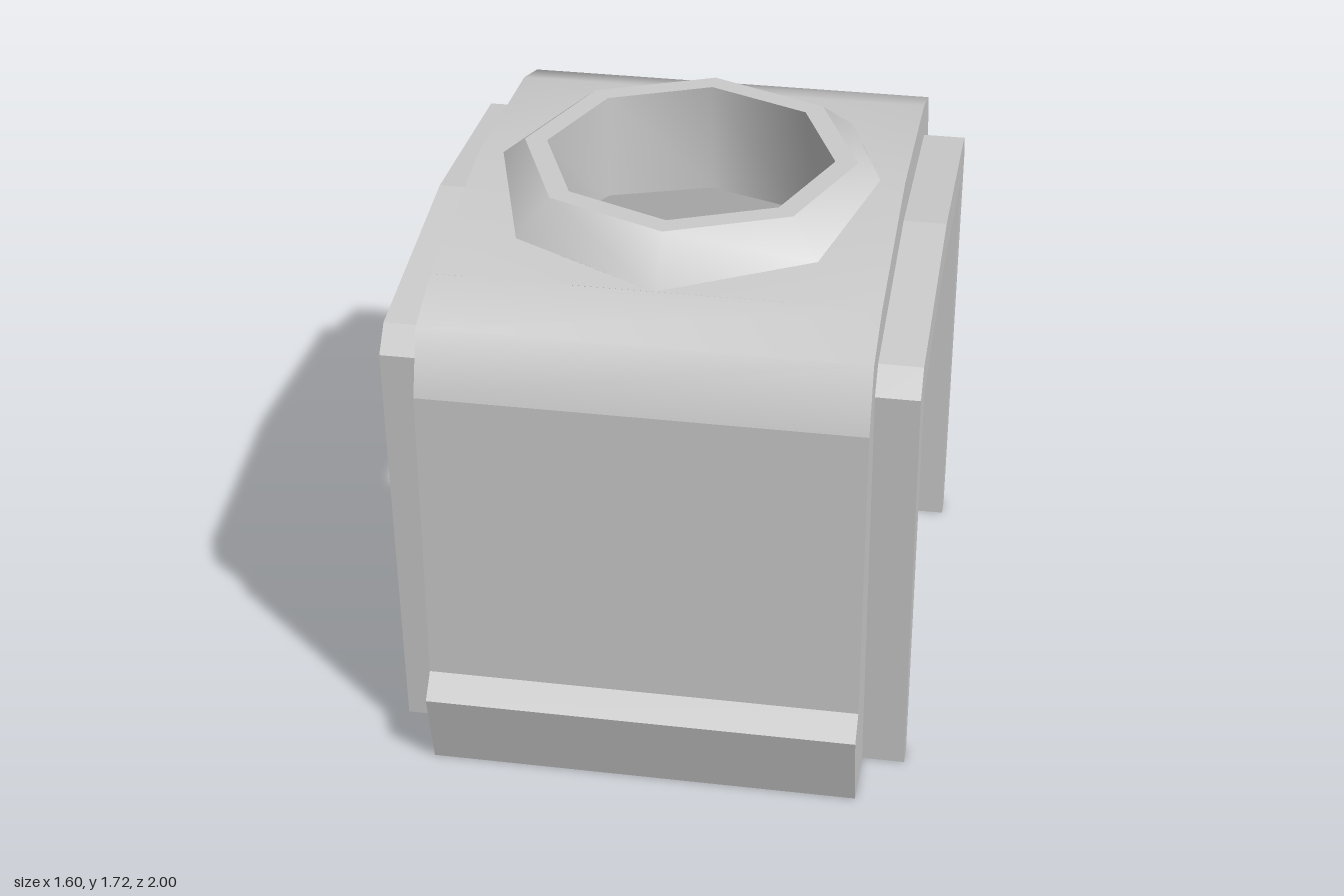
import * as THREE from 'three';
import { mergeGeometries, toCreasedNormals } from 'three/addons/utils/BufferGeometryUtils.js';

const W = 0.667;                                   // half width of the shell and half inner span
const material = new THREE.MeshStandardMaterial({ color: 0xcccccc, side: THREE.DoubleSide });
const roofY = z => 1.667 - 0.1 * Math.abs(z);
const ceilingY = z => 1.4 - 0.1 * Math.abs(z);
const polygon = pts => new THREE.Shape(pts.map(p => new THREE.Vector2(...p)));
const mirrorZ = pts => pts.map(([z, y]) => [-z, y]);

// Extrudes a (z, y) profile along x, centred on cx
function extrudeX(pts, width, cx = 0) {
  const g = new THREE.ExtrudeGeometry(polygon(pts), { depth: width, bevelEnabled: false });
  return g.rotateY(-Math.PI / 2).translate(cx + width / 2, 0, 0);
}

// Flat (z, y) face at a given x
function faceX(pts, x) {
  return new THREE.ShapeGeometry(polygon(pts)).rotateY(-Math.PI / 2).translate(x, 0, 0);
}

// One (x, z) quarter repeated four times and lifted onto a pitched surface
function pitched(quarter, heightAt, tilt) {
  const parts = [];
  for (const sx of [-1, 1]) for (const sz of [-1, 1]) {
    const g = new THREE.ShapeGeometry(polygon(quarter.map(([x, z]) => [sx * x, sz * z])));
    g.rotateX(tilt);
    const p = g.attributes.position;
    for (let i = 0; i < p.count; i++) p.setY(i, heightAt(p.getZ(i)));
    parts.push(g.toNonIndexed());
  }
  const merged = mergeGeometries(parts);
  merged.computeVertexNormals();
  return merged;
}

// Eight-sided ring; the radius may differ along x, diagonals and z
function ring(rx, rd, rz, heightAt) {
  return Array.from({ length: 8 }, (_, i) => {
    const a = i * Math.PI / 4;
    const r = i % 2 ? rd : i % 4 ? rz : rx;
    const z = r * Math.sin(a);
    return [r * Math.cos(a), heightAt(z), z];
  });
}

// Closed band of quads from a lower or outer ring to the next
function strip(a, b) {
  const v = [];
  for (let i = 0; i < 8; i++) {
    const j = (i + 1) % 8;
    v.push(...a[i], ...b[i], ...b[j], ...a[i], ...b[j], ...a[j]);
  }
  const g = new THREE.BufferGeometry();
  g.setAttribute('position', new THREE.Float32BufferAttribute(v, 3));
  return toCreasedNormals(g, 1);
}

export function createModel() {
  const group = new THREE.Group();
  const add = (name, geometry) => {
    const mesh = new THREE.Mesh(geometry, material);
    mesh.name = name;
    group.add(mesh);
    return mesh;
  };

  // Side walls with the flared lower lip
  const wall = [[W, 0], [0.933, 0], [1, 0.267], [0.933, 0.333], [0.933, 1.333], [W, 1.333]];
  add('frontWall', extrudeX(wall, 2 * W));
  add('backWall', extrudeX(mirrorZ(wall), 2 * W));

  // Rounded shoulders and pitched roof, open around the collar
  const shoulder = [[W, 1.333], [0.933, 1.333], [0.867, 1.533], [W, 1.6]];
  const roof = pitched([[0.59, 0], [W, 0], [W, W], [0, W], [0.455, 0.455]], roofY, -Math.PI / 2);
  const top = [extrudeX(shoulder, 2 * W), extrudeX(mirrorZ(shoulder), 2 * W), roof]
    .map(g => (g.index ? g.toNonIndexed() : g));
  add('roof', toCreasedNormals(mergeGeometries(top), 1));

  // Ceiling with the octagonal opening
  const d = 0.45 * Math.SQRT1_2;
  add('ceiling', pitched([[0.45, 0], [W, 0], [W, W], [0, W], [0, 0.45], [d, d]], ceilingY, Math.PI / 2));

  // Collar: sloped skirt, flat rim and bore
  const flat = () => 1.72;
  const rim = ring(0.52, 0.52, 0.52, flat), bore = ring(0.45, 0.45, 0.45, flat);
  add('collarSkirt', strip(ring(0.59, 0.643, W, roofY), rim));
  add('collarRim', strip(rim, bore));
  add('collarBore', strip(bore, ring(0.45, 0.45, 0.45, ceilingY)));

  // Arched flange, end face, hanging panel and rod on each side
  const flangeHalf = [[W, 0], [0.733, 0], [0.8, 1.387], [0.733, 1.46]];
  const flange = [...flangeHalf, [0, 1.533], ...mirrorZ(flangeHalf).reverse(), [-W, 1.333], [0, 1.4], [W, 1.333]];
  const end = [[W, 1.333], [W, 1.6], [0, 1.667], [-W, 1.6], [-W, 1.333], [0, 1.4]];
  const panel = [[W, 0.97], [W, 1.333], [0, 1.4], [-W, 1.333], [-W, 0.97]];
  for (const [side, s] of [['left', 1], ['right', -1]]) {
    add(side + 'Flange', extrudeX(flange, 0.8 - W, s * (0.8 + W) / 2));
    add(side + 'RoofEnd', faceX(end, s * W));
    add(side + 'Panel', faceX(panel, s * W));
    const rod = add(side + 'Rod', new THREE.CylinderGeometry(0.067, 0.067, 2 * W, 8));
    rod.rotation.x = Math.PI / 2;
    rod.position.set(s * W, 0.97, 0);
  }

  // Tilted six-sided badge on the back wall
  const badge = [[0.03, 0.87], [-0.03, 1.25], [-0.42, 1.21], [-0.555, 1.14], [-0.495, 0.76], [-0.105, 0.8]];
  add('backBadge', new THREE.ExtrudeGeometry(polygon(badge), { depth: 0.067, bevelEnabled: false }).translate(0, 0, -1));

  return group;
}
